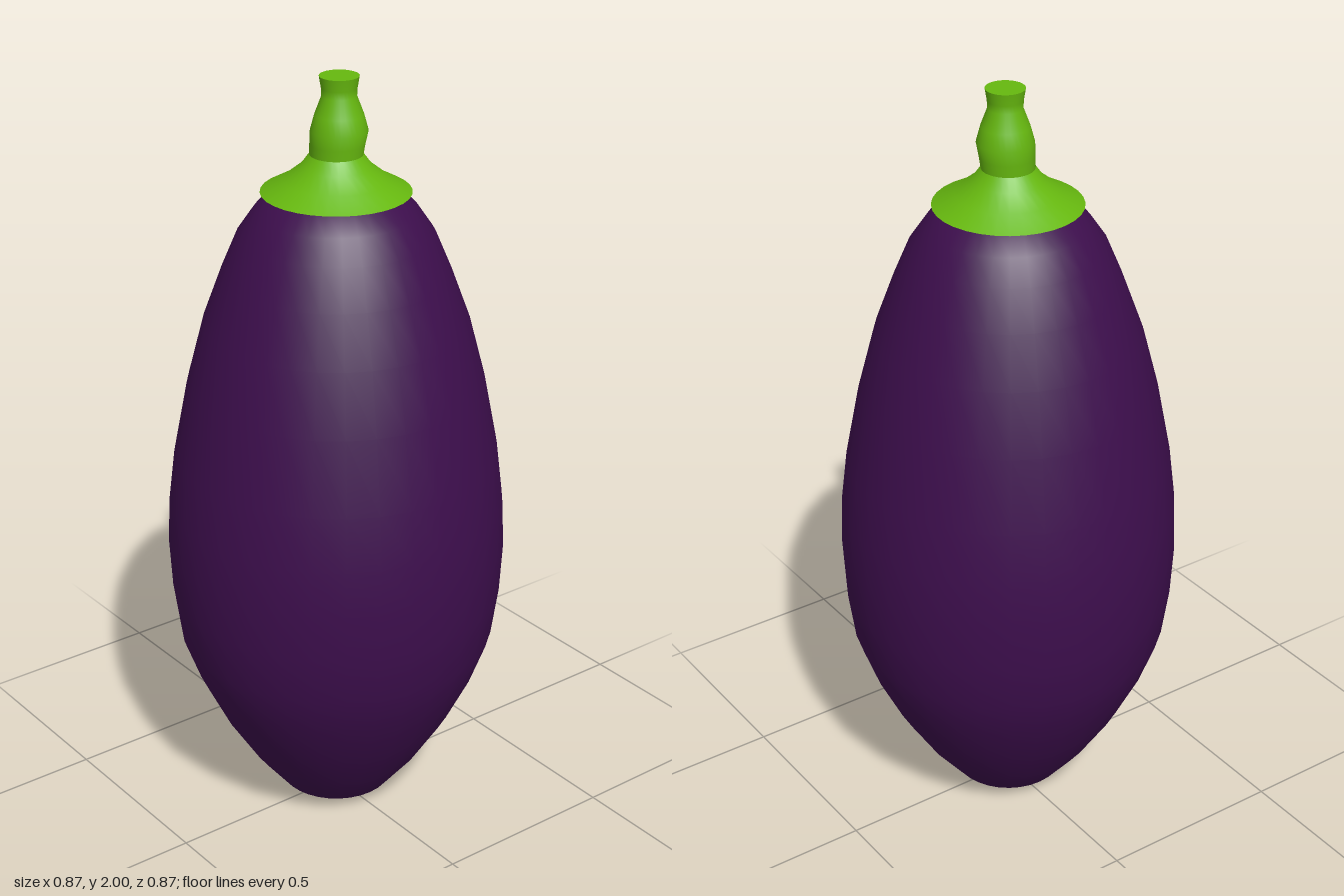
import * as THREE from 'three';

const SIDES = 32;

// Smooth lathe from [radius, height] pairs, listed bottom to top
function lathe(name, profile, color) {
  const geometry = new THREE.LatheGeometry(profile.map(([r, y]) => new THREE.Vector2(r, y)), SIDES);
  const mesh = new THREE.Mesh(geometry, new THREE.MeshStandardMaterial({ color, side: THREE.DoubleSide }));
  mesh.name = name;
  return mesh;
}

// Shift the upper rings sideways so the stalk leans slightly to +x
function lean(mesh, from, to, amount) {
  const p = mesh.geometry.attributes.position;
  for (let i = 0; i < p.count; i++) {
    p.setX(i, p.getX(i) + amount * THREE.MathUtils.smoothstep(p.getY(i), from, to));
  }
}

export function createModel() {
  const group = new THREE.Group();
  group.name = 'eggplant';

  // Fruit: narrow rounded base, widest below the middle, tapering to the top
  group.add(lathe('fruit', [
    [0, 0], [0.08, 0.012], [0.15, 0.035], [0.23, 0.135], [0.31, 0.262], [0.37, 0.385],
    [0.412, 0.5], [0.43, 0.63], [0.437, 0.76], [0.432, 0.88], [0.415, 1.02], [0.378, 1.21],
    [0.336, 1.37], [0.288, 1.5], [0.246, 1.6], [0.205, 1.66], [0.16, 1.71], [0.09, 1.735], [0, 1.74],
  ], 0x3d0e4d));

  // Leafy cap flaring out over the shoulder, with its underside
  const green = 0x66b80f;
  group.add(lathe('cap', [
    [0.187, 1.708], [0.132, 1.738], [0.088, 1.773], [0.066, 1.803],
  ], green));
  group.add(lathe('capUnderside', [[0.1, 1.71], [0.187, 1.708]], green));

  // Stalk: bulge, narrow neck, flared flat end
  const stalk = lathe('stalk', [
    [0.066, 1.8], [0.068, 1.83], [0.071, 1.865], [0.06, 1.905], [0.043, 1.95], [0.044, 1.97], [0.049, 2],
  ], green);
  const end = lathe('stalkEnd', [[0.049, 2], [0, 2]], green);
  for (const part of [stalk, end]) {
    lean(part, 1.8, 1.87, 0.012);
    group.add(part);
  }

  return group;
}
